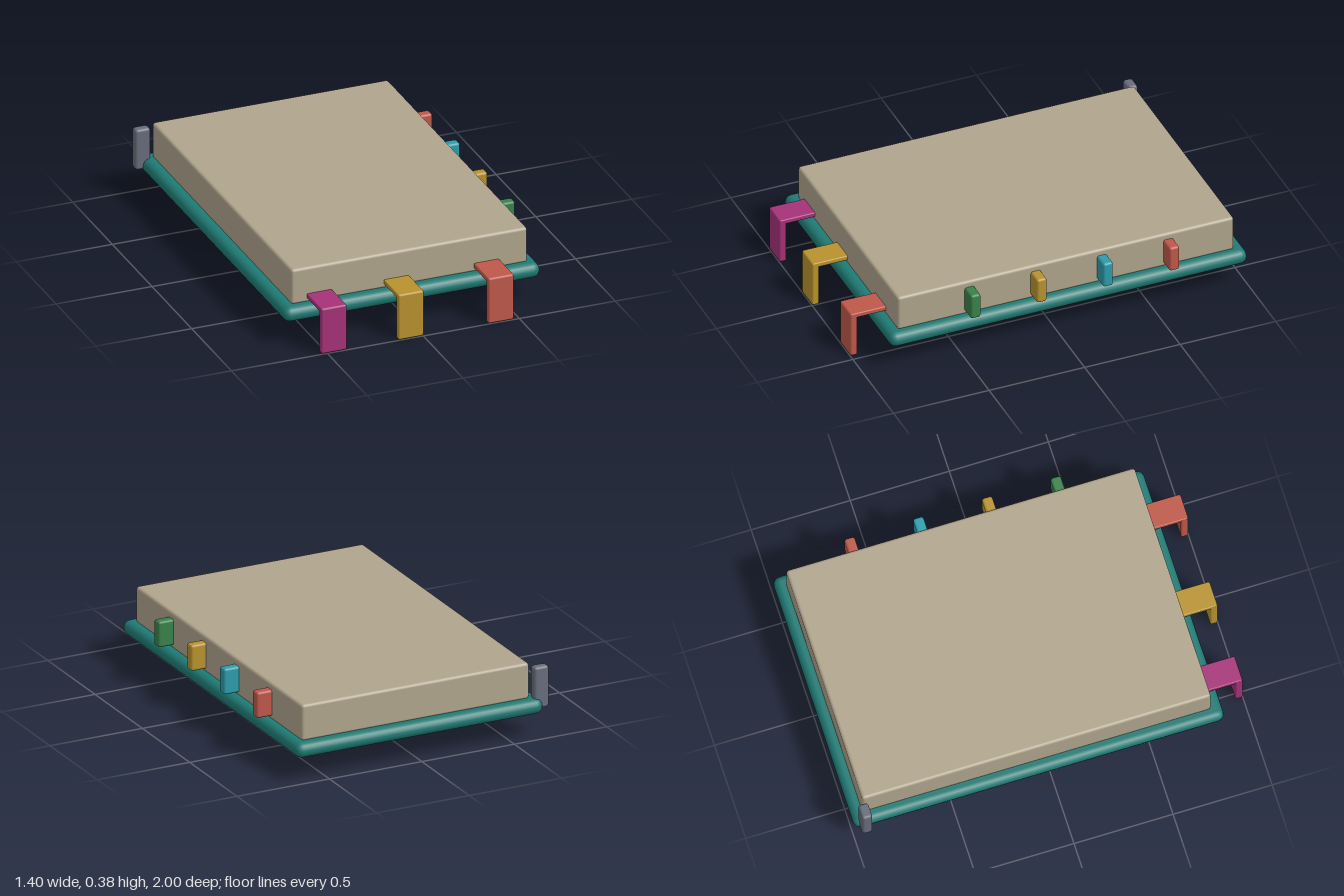
import * as THREE from 'three';
import { RoundedBoxGeometry } from 'three/addons/geometries/RoundedBoxGeometry.js';

const COLORS = {
  teal: 0x1f7a74, paper: 0xb0a58d, magenta: 0xa63279, gold: 0xb8922e,
  red: 0xbf584a, cyan: 0x2b9dab, green: 0x38824a, slate: 0x686c7b,
};

// Rounded box spanning [min, max] on each axis
function block(name, color, [x0, x1], [y0, y1], [z0, z1], radius, segments = 2) {
  const geometry = new RoundedBoxGeometry(x1 - x0, y1 - y0, z1 - z0, segments, radius);
  const mesh = new THREE.Mesh(geometry, new THREE.MeshStandardMaterial({ color: COLORS[color] }));
  mesh.position.set((x0 + x1) / 2, (y0 + y1) / 2, (z0 + z1) / 2);
  mesh.name = name;
  return mesh;
}

export function createModel() {
  const book = new THREE.Group();
  book.name = 'tabbedBook';

  // Cover board and page block
  book.add(block('cover', 'teal', [-0.665, 0.67], [0.128, 0.204], [-1, 0.87], 0.036));
  book.add(block('pages', 'paper', [-0.61, 0.62], [0.198, 0.385], [-0.945, 0.815], 0.015));

  // Index tabs along the fore edge
  const tabs = [['green', 0.44], ['gold', 0.094], ['cyan', -0.253], ['red', -0.6]];
  for (const [color, z] of tabs) {
    book.add(block(`${color}Tab`, color, [0.59, 0.7], [0.218, 0.352], [z - 0.026, z + 0.026], 0.012));
  }

  // Small clip standing at the back corner of the spine side
  book.add(block('cornerClip', 'slate', [-0.703, -0.624], [0.15, 0.365], [-0.973, -0.923], 0.014));

  // Ribbons that come out of the front edge and hang down
  const ribbons = [['magenta', -0.464], ['gold', -0.063], ['red', 0.406]];
  for (const [color, x] of ribbons) {
    const ribbon = new THREE.Group();
    ribbon.name = `${color}Ribbon`;
    const width = [x - 0.066, x + 0.066];
    ribbon.add(block('ribbonTop', color, width, [0.219, 0.245], [0.74, 0.998], 0.006));
    ribbon.add(block('ribbonDrop', color, width, [0.003, 0.245], [0.963, 1], 0.01));
    book.add(ribbon);
  }
  return book;
}
